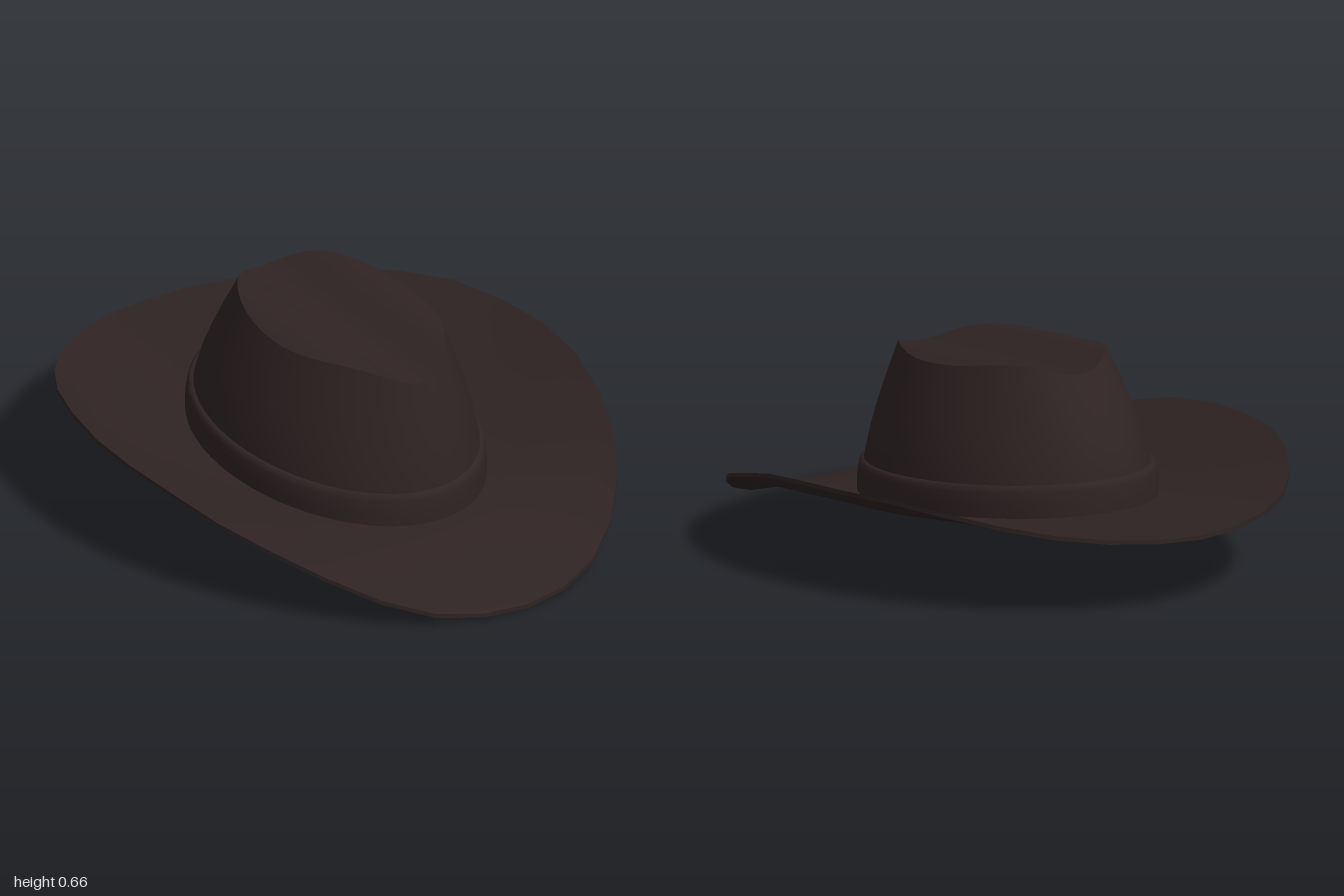
import * as THREE from 'three';
import { toCreasedNormals } from 'three/addons/utils/BufferGeometryUtils.js';

// Height of the brim's outer edge, from front centre round to back centre
const EDGE = [0.015, 0.022, 0.045, 0.095, 0.16, 0.22, 0.268, 0.312, 0.332,
  0.338, 0.34, 0.322, 0.296, 0.272, 0.256, 0.245, 0.24];
const THICK = 0.014;

// Tilted plane where the crown meets the brim
const baseY = (z) => 0.178 - 0.085 * z;

// Pinched top of the crown: slopes to the front, with a crease along the middle
const topY = (x, z) => 0.598 - 0.076 * z + 0.043 * Math.sin(Math.PI * x / 0.38) ** 2;

// Skin a stack of closed rings; each ring maps an angle (0 = front) to [x, y, z]
function loft(rings, n, crease = 0.7) {
  const pos = [], idx = [];
  rings.forEach((ring, i) => {
    for (let j = 0; j < n; j++) {
      pos.push(...ring((j / n) * Math.PI * 2));
      if (i === rings.length - 1) continue;
      const k = (j + 1) % n;
      const a = i * n + j, b = i * n + k, c = a + n, d = b + n;
      idx.push(a, b, d, a, d, c);
    }
  });
  const geo = new THREE.BufferGeometry();
  geo.setAttribute('position', new THREE.Float32BufferAttribute(pos, 3));
  geo.setIndex(idx);
  return toCreasedNormals(geo, crease);
}

function edgeY(angle) {
  const s = (angle > Math.PI ? 2 * Math.PI - angle : angle) / Math.PI * 16;
  const i = Math.min(15, Math.floor(s));
  return THREE.MathUtils.lerp(EDGE[i], EDGE[i + 1], s - i);
}

// Brim ring: t = 0 at the crown, 1 at the outer edge
const brimRing = (t, drop) => (a) => {
  const x = Math.sin(a) * (0.4 + 0.4 * t);
  const z = Math.cos(a) * (0.55 + 0.45 * t);
  const base = baseY(Math.cos(a) * 0.55);
  return [x, base + (edgeY(a) - base) * t ** 1.3 - drop, z];
};

// Rim of the crown's top, narrowing towards the front
function rimPoint(a, scale = 1) {
  const s = Math.cos(a);
  const x = 0.273 * Math.sin(a) * (1 - 0.18 * Math.max(0, s) ** 2) * scale;
  const z = 0.04 + 0.415 * s * scale;
  return [x, topY(x, z), z];
}

// Crown wall ring: t = height fraction, f = how far it has tapered to the rim
const wallRing = ([t, f]) => (a) => {
  const [rx, ry, rz] = rimPoint(a);
  const bx = 0.4 * Math.sin(a), bz = 0.55 * Math.cos(a);
  const { lerp } = THREE.MathUtils;
  return [lerp(bx, rx, f), lerp(baseY(bz), ry, t), lerp(bz, rz, f)];
};

// Hat band ring: h above the brim, out = distance proud of the crown
const bandRing = ([h, out]) => (a) => {
  const x = Math.sin(a) * (0.4 + out), z = Math.cos(a) * (0.55 + out);
  return [x, baseY(z) + h, z];
};

export function createModel() {
  const hat = new THREE.Group();
  hat.name = 'hat';
  const felt = new THREE.MeshStandardMaterial({ color: 0x2f2323, side: THREE.DoubleSide });
  felt.name = 'dark brown felt';
  const add = (name, geo) => {
    const mesh = new THREE.Mesh(geo, felt);
    mesh.name = name;
    hat.add(mesh);
  };

  // Brim: underside outwards, upper side back in, then closed at the crown
  const steps = [0, 0.12, 0.25, 0.4, 0.55, 0.7, 0.85, 1];
  add('brim', loft([
    ...steps.map((t) => brimRing(t, THICK)),
    ...[...steps].reverse().map((t) => brimRing(t, 0)),
    brimRing(0, THICK),
  ], 32));

  // Crown wall
  add('crownWall', loft([[0, 0], [0.22, 0.1], [0.42, 0.26], [0.6, 0.46],
    [0.8, 0.72], [0.93, 0.9], [1, 1]].map(wallRing), 64));

  // Crown top with its lengthwise crease
  add('crownTop', loft([1, 0.9, 0.8, 0.65, 0.5, 0.35, 0.2, 0.1, 0.001]
    .map((s) => (a) => rimPoint(a, s)), 64));

  // Band around the foot of the crown
  add('hatBand', loft([[-0.008, 0.01], [0.04, 0.01], [0.08, 0.005],
    [0.095, 0.001], [0.101, -0.006], [0.102, -0.02]].map(bandRing), 64));

  return hat;
}
